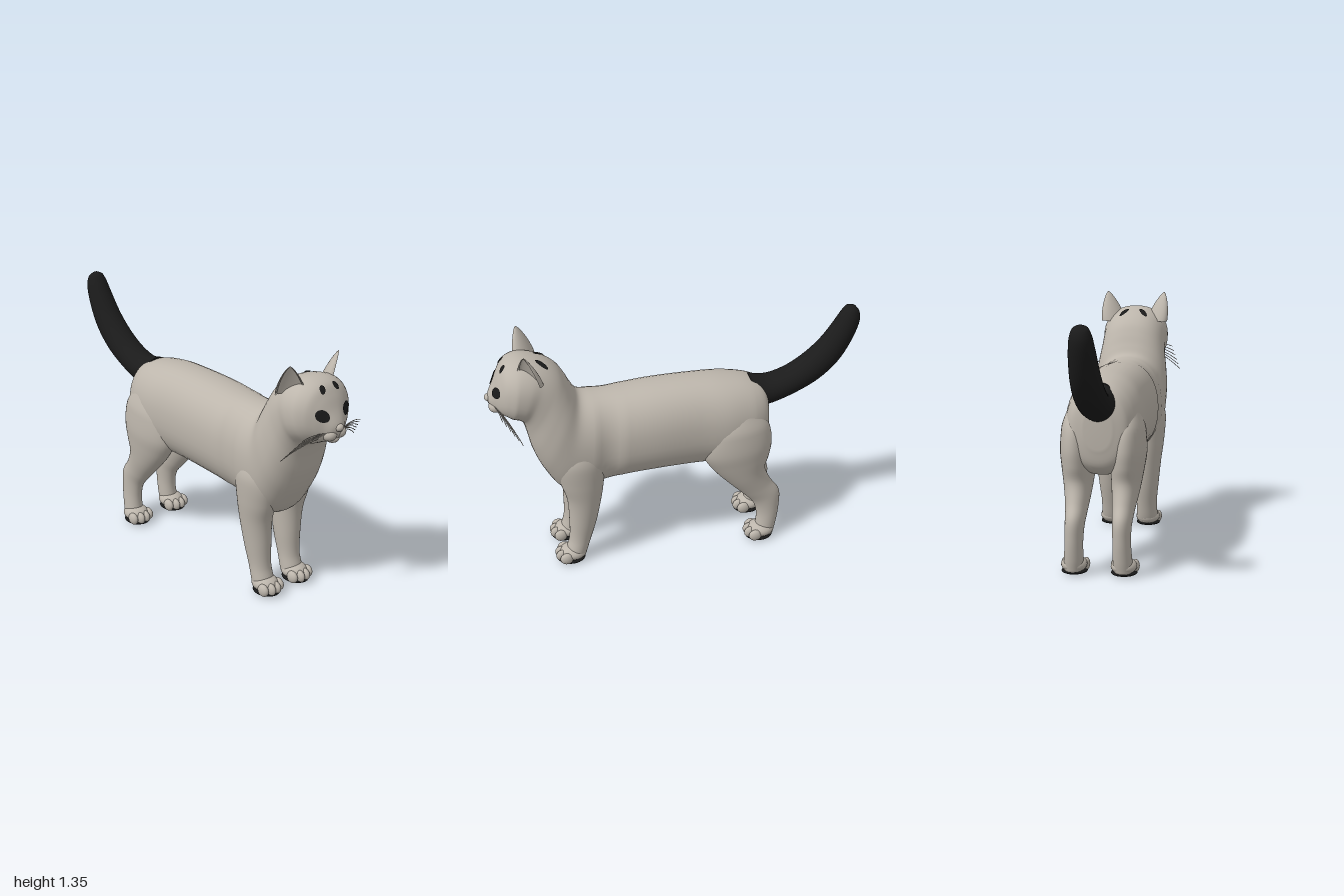
import * as THREE from 'three';

const fur = new THREE.MeshStandardMaterial({ color: 0xbdb6ac });
fur.name = 'pale grey fur';
const thinFur = new THREE.MeshStandardMaterial({ color: 0xbdb6ac, side: THREE.DoubleSide });
thinFur.name = 'ear fur';
const black = new THREE.MeshStandardMaterial({ color: 0x1b1b1b, side: THREE.DoubleSide });
black.name = 'black fur';

const V = (x, y, z = 0) => new THREE.Vector3(x, y, z);

function add(parent, name, geometry, material) {
  const mesh = new THREE.Mesh(geometry, material);
  mesh.name = name;
  parent.add(mesh);
  return mesh;
}

function ball(parent, name, p, r, material = fur) {
  const m = add(parent, name, new THREE.SphereGeometry(1, 24, 16), material);
  m.position.set(...p);
  m.scale.set(...r);
  return m;
}

// Grid of points (rows x cols) to a smooth surface; columns may wrap round
function gridGeometry(rows, cols, wrap, point) {
  const pos = [], idx = [];
  for (let i = 0; i < rows; i++)
    for (let j = 0; j < cols; j++) pos.push(...point(i, j).toArray());
  for (let i = 0; i < rows - 1; i++)
    for (let j = 0; j < (wrap ? cols : cols - 1); j++) {
      const a = i * cols + j, b = i * cols + (j + 1) % cols;
      idx.push(a, b, a + cols, b, b + cols, a + cols);
    }
  if (wrap) { // end caps
    for (const end of [0, rows - 1]) {
      const c = pos.length / 3, s = end * cols, h = s + cols / 2;
      for (let k = 0; k < 3; k++) pos.push((pos[s * 3 + k] + pos[h * 3 + k]) / 2);
      for (let j = 0; j < cols; j++) {
        const a = s + j, b = s + (j + 1) % cols;
        if (end) idx.push(c, a, b); else idx.push(c, b, a);
      }
    }
  }
  const g = new THREE.BufferGeometry();
  g.setAttribute('position', new THREE.Float32BufferAttribute(pos, 3));
  g.setIndex(idx);
  g.computeVertexNormals();
  return g;
}

// Loft through stations [topX, topY, bottomX, bottomY, halfWidth, z]
function loft(stations, side = 1, power = 1) {
  const curve = f => new THREE.CatmullRomCurve3(stations.map(f));
  const top = curve(s => V(s[0], s[1]));
  const bottom = curve(s => V(s[2], s[3]));
  const size = curve(s => V(s[4], side * (s[5] || 0)));
  const rows = (stations.length - 1) * 6 + 1, cols = 40;
  const bend = v => Math.sign(v) * Math.abs(v) ** power;
  return gridGeometry(rows, cols, true, (i, j) => {
    const t = i / (rows - 1), a = j / cols * Math.PI * 2;
    const p = top.getPoint(t), q = bottom.getPoint(t), w = size.getPoint(t);
    const m = p.clone().add(q).multiplyScalar(0.5);
    m.addScaledVector(p.sub(q), 0.5 * bend(Math.cos(a)));
    m.z = w.y + w.x * bend(Math.sin(a));
    return m;
  });
}

// Thin oval marking laid on a surface by casting rays
function marking(parent, name, target, center, dir, across, along, ra, rb) {
  const ray = new THREE.Raycaster();
  const g = gridGeometry(6, 25, false, (i, j) => {
    const a = j / 24 * Math.PI * 2, r = i / 5;
    const p = center.clone().addScaledVector(across, ra * r * Math.cos(a))
      .addScaledVector(along, rb * r * Math.sin(a));
    ray.set(p.clone().addScaledVector(dir, -1), dir);
    const hit = ray.intersectObject(target, false)[0];
    return (hit ? hit.point : p).clone().addScaledVector(dir, -0.006);
  });
  add(parent, name, g, black);
}

function paw(parent, name, x, z) {
  const g = new THREE.Group();
  g.name = name;
  g.position.set(x, 0, z);
  parent.add(g);
  ball(g, 'foot', [-0.01, 0.05, 0], [0.075, 0.043, 0.068]);
  for (let i = 0; i < 4; i++) {
    const k = i - 1.5, mid = Math.abs(k) < 1;
    ball(g, 'toe', [mid ? 0.052 : 0.034, 0.04, k * 0.036], [0.036, 0.034, 0.021]);
  }
  ball(g, 'solePad', [0.002, 0.013, 0], [0.078, 0.013, 0.068], black);
}

function ear(parent, s) {
  const out = V(0.75, 0, s * 0.66), wide = V(0.66, 0, -s * 0.75);
  const shell = (name, scale, depth) => add(parent, name, gridGeometry(14, 21, false, (i, j) => {
    const t = i / 13, a = (j / 20 - 0.5) * 3.7;
    const r = scale * 0.074 * (1 - t ** 1.5) ** 0.8 + 0.003;
    return V(0.77 + 0.03 * t, 1.18 + (0.165 - (1 - scale) * 0.03) * t, s * (0.127 + 0.038 * t))
      .addScaledVector(out, -r * depth * Math.cos(a))
      .addScaledVector(wide, r * Math.sin(a));
  }), thinFur);
  shell('ear', 1, 0.6);
  shell('innerEar', 0.9, 0.3);
}

export function createModel() {
  const cat = new THREE.Group();
  cat.name = 'cat';
  cat.position.z = -0.018;

  // Trunk, neck and head in one smooth skin
  const body = add(cat, 'body', loft([
    [-0.505, 0.87, -0.505, 0.66, 0.07],
    [-0.475, 0.945, -0.48, 0.56, 0.145],
    [-0.40, 0.982, -0.40, 0.51, 0.185],
    [-0.25, 1.01, -0.25, 0.505, 0.205],
    [-0.10, 1.018, -0.10, 0.508, 0.2],
    [0.12, 1.015, 0.12, 0.505, 0.205],
    [0.30, 1.003, 0.32, 0.49, 0.2],
    [0.44, 1.0, 0.47, 0.46, 0.2],
    [0.515, 1.01, 0.62, 0.45, 0.203],
    [0.55, 1.06, 0.72, 0.585, 0.205],
    [0.58, 1.12, 0.775, 0.72, 0.195],
    [0.615, 1.175, 0.80, 0.835, 0.183],
    [0.67, 1.22, 0.82, 0.90, 0.18],
    [0.74, 1.25, 0.84, 0.92, 0.186],
    [0.82, 1.262, 0.87, 0.93, 0.182],
    [0.885, 1.24, 0.90, 0.945, 0.152],
    [0.92, 1.19, 0.925, 0.955, 0.115],
    [0.95, 1.125, 0.945, 0.965, 0.075],
    [0.975, 1.075, 0.965, 0.98, 0.045],
    [0.985, 1.05, 0.975, 1.0, 0.022],
  ], 1, 0.9), fur);

  // Tail, tip to root
  add(cat, 'tail', loft([
    [-0.955, 1.345, -0.975, 1.335, 0.012],
    [-0.925, 1.338, -0.993, 1.31, 0.04],
    [-0.895, 1.30, -1.0, 1.265, 0.056],
    [-0.855, 1.235, -0.97, 1.165, 0.067],
    [-0.79, 1.145, -0.895, 1.03, 0.075],
    [-0.70, 1.06, -0.79, 0.93, 0.08],
    [-0.60, 0.997, -0.66, 0.86, 0.084],
    [-0.50, 0.97, -0.54, 0.815, 0.088],
    [-0.40, 0.988, -0.49, 0.80, 0.085],
  ]), black);

  // Muzzle, nose and chin
  ball(cat, 'nose', [0.977, 1.042, 0], [0.023, 0.02, 0.024]);
  ball(cat, 'chin', [0.935, 0.972, 0], [0.035, 0.022, 0.035]);

  cat.updateMatrixWorld(true);
  const marks = new THREE.Group();
  marks.name = 'faceMarkings';
  marks.position.z = 0.018; // markings are traced in model space
  cat.add(marks);

  for (const s of [1, -1]) {
    const side = s > 0 ? 'near' : 'far';

    add(cat, side + 'FrontLeg', loft([
      [0.60, 0.80, 0.46, 0.78, 0.05, 0.12],
      [0.665, 0.66, 0.41, 0.64, 0.09, 0.122],
      [0.645, 0.52, 0.415, 0.51, 0.088, 0.115],
      [0.615, 0.41, 0.43, 0.40, 0.079, 0.11],
      [0.608, 0.27, 0.46, 0.25, 0.068, 0.105],
      [0.612, 0.14, 0.495, 0.13, 0.058, 0.103],
      [0.63, 0.07, 0.52, 0.05, 0.06, 0.103],
      [0.63, 0.03, 0.535, 0.02, 0.052, 0.103],
    ], s), fur);
    paw(cat, side + 'FrontPaw', 0.605, s * 0.105);

    add(cat, side + 'HindLeg', loft([
      [-0.24, 0.85, -0.42, 0.85, 0.05, 0.13],
      [-0.14, 0.73, -0.485, 0.76, 0.085, 0.132],
      [-0.125, 0.60, -0.505, 0.65, 0.093, 0.131],
      [-0.18, 0.50, -0.495, 0.56, 0.085, 0.128],
      [-0.27, 0.395, -0.475, 0.475, 0.073, 0.125],
      [-0.36, 0.30, -0.51, 0.38, 0.058, 0.122],
      [-0.415, 0.235, -0.562, 0.30, 0.05, 0.122],
      [-0.437, 0.165, -0.565, 0.20, 0.047, 0.124],
      [-0.435, 0.085, -0.55, 0.085, 0.05, 0.127],
      [-0.42, 0.03, -0.535, 0.02, 0.05, 0.13],
    ], s), fur);
    paw(cat, side + 'HindPaw', -0.455, s * 0.13);

    ear(cat, s);
    ball(cat, 'whiskerPad', [0.943, 1.003, s * 0.032], [0.04, 0.033, 0.038]);

    // Eyes, brow spots and spots behind the ears
    const z = s * 0.08 - 0.018, ex = V(-1, 0, 0), down = V(0, -1, 0);
    marking(marks, 'eye', body, V(0.9, 1.11, z), ex, V(0, 0.15, s).normalize(), V(0, 1, 0), 0.034, 0.031);
    marking(marks, 'browSpot', body, V(0.88, 1.21, s * 0.045 - 0.018), V(-0.8, -0.6, 0),
      V(0, -0.4, s * 0.9), V(-0.6, 0.8, 0), 0.018, 0.022);
    marking(marks, 'crownSpot', body, V(0.70, 1.22, s * 0.055 - 0.018), down,
      V(0.8, 0, -s * 0.6), V(0.6, 0, s * 0.8), 0.035, 0.016);

    // Whiskers
    for (let i = 0; i < 6; i++) {
      const k = i / 5, start = V(0.955 - 0.02 * k, 1.015 - 0.02 * k, s * (0.05 + 0.01 * k));
      const end = V(0.93 - 0.09 * k, 1.01 - 0.12 * k, s * (0.2 + 0.055 * k));
      const mid = start.clone().lerp(end, 0.55).add(V(0, 0.025, 0));
      const path = new THREE.QuadraticBezierCurve3(start, mid, end);
      add(cat, 'whisker', new THREE.TubeGeometry(path, 10, 0.002, 5), fur);
    }
  }
  const model = new THREE.Group();
  model.name = 'standingCat';
  model.add(cat);
  return model;
}
